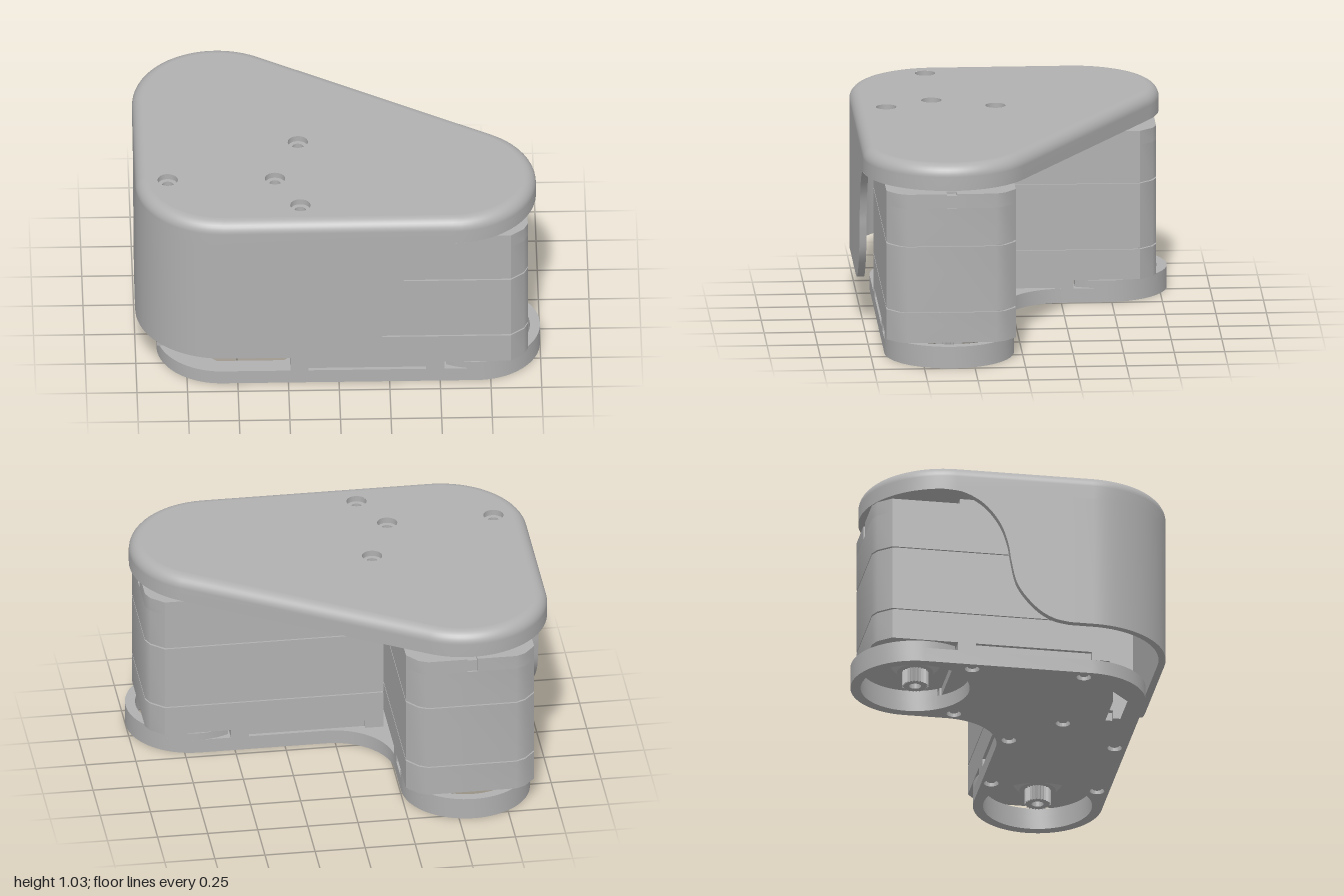
import * as THREE from 'three';
import { toCreasedNormals, mergeVertices } from 'three/addons/utils/BufferGeometryUtils.js';

const grey = new THREE.MeshStandardMaterial({ color: 0xb0b0b0 });
grey.name = 'grey';

const rad = THREE.MathUtils.degToRad;

function part(name, geo, parent) {
  const m = new THREE.Mesh(geo, grey);
  m.name = name;
  parent.add(m);
  return m;
}

// Plan shapes use (x, -z) so that an upward extrusion keeps the plan as seen from above
const plan = pts => new THREE.Shape(pts.map(([x, z]) => new THREE.Vector2(x, -z)));

function hole(x, z, r) {
  return new THREE.Path().absarc(x, -z, r, 0, Math.PI * 2);
}

function slab(shape, y0, y1) {
  const g = new THREE.ExtrudeGeometry(shape, { depth: y1 - y0, bevelEnabled: false, curveSegments: 28 });
  g.rotateX(-Math.PI / 2).translate(0, y0, 0);
  return toCreasedNormals(g, 0.5);
}

const rect = (x0, x1, z0, z1) => plan([[x0, z0], [x1, z0], [x1, z1], [x0, z1]]);

function cyl(r0, r1, y0, y1, x, z, seg = 32) {
  return new THREE.CylinderGeometry(r1, r0, y1 - y0, seg).translate(x, (y0 + y1) / 2, z);
}

function arc(cx, cz, r, a0, a1, n = 24) {
  return Array.from({ length: n + 1 }, (_, i) => {
    const a = rad(a0 + (a1 - a0) * i / n);
    return [cx + r * Math.cos(a), cz + r * Math.sin(a)];
  });
}

// Skin over closed cross-sections
function loft(rings) {
  const n = rings[0].length, idx = [];
  for (let i = 0; i < rings.length - 1; i++) {
    for (let j = 0; j < n; j++) {
      const k = (j + 1) % n;
      const a = i * n + j, b = a + n, c = (i + 1) * n + k, d = i * n + k;
      idx.push(a, b, d, b, c, d);
    }
  }
  const g = new THREE.BufferGeometry();
  g.setAttribute('position', new THREE.Float32BufferAttribute(rings.flat(2), 3));
  g.setIndex(idx);
  g.computeVertexNormals();
  return g;
}

// Lid outline, moved inward by a given inset
function lidOutline(inset) {
  return [
    ...arc(0.56, 0.36, 0.42 - inset, -59, 90),
    ...arc(-0.57, 0.35, 0.43 - inset, 90, 180),
    ...arc(-0.58, -0.33, 0.42 - inset, 180, 301),
  ];
}

function makeLid() {
  const lid = new THREE.Group();
  lid.name = 'lid';
  const R = 0.06, top = 1.03;
  const rings = [lidOutline(0).map(([x, z]) => [x, 0.9, z])];
  for (let i = 0; i <= 8; i++) {
    const a = i / 8 * Math.PI / 2;
    const y = top - R + R * Math.sin(a);
    rings.push(lidOutline(R * (1 - Math.cos(a))).map(([x, z]) => [x, y, z]));
  }
  part('lidRim', loft(rings), lid);

  // Top face with counterbored screw holes
  const screws = [[-0.84, 0.39], [-0.31, 0.39], [-0.19, 0.08], [-0.19, 0.62]];
  const face = plan(lidOutline(R));
  screws.forEach(([x, z]) => face.holes.push(hole(x, z, 0.05)));
  part('lidTop', new THREE.ShapeGeometry(face, 28).rotateX(-Math.PI / 2).translate(0, top, 0), lid);
  for (const [x, z] of screws) {
    const collar = plan(arc(x, z, 0.052, 0, 360));
    collar.holes.push(hole(x, z, 0.028));
    part('holeSeat', slab(collar, 0.92, top - 0.03), lid);
    const wall = new THREE.CylinderGeometry(0.05, 0.05, 0.03, 32, 1, true).scale(-1, 1, 1);
    const w = wall.index.array;
    part('holeWall', wall.translate(x, top - 0.015, z), lid);
    wall.computeVertexNormals();
    part('holeBottom', cyl(0.03, 0.03, 0.92, 0.95, x, z), lid);
  }

  // Underside and its central boss
  const under = new THREE.Shape(lidOutline(0).map(([x, z]) => new THREE.Vector2(x, z)));
  part('lidUnderside', new THREE.ShapeGeometry(under).rotateX(Math.PI / 2).translate(0, 0.9, 0), lid);
  part('lidBoss', cyl(0.05, 0.07, 0.87, 0.9, -0.11, -0.03), lid);
  return lid;
}

// Curved skirt whose lower edge sweeps up to the lid at both ends
function makeSkirt() {
  const sweep = new THREE.CatmullRomCurve3([
    [0, 0.899], [0.1, 0.885], [0.2, 0.83], [0.28, 0.73], [0.32, 0.62], [0.335, 0.53],
    [0.37, 0.4], [0.47, 0.28], [0.55, 0.235], [0.63, 0.22],
  ].map(([t, y]) => new THREE.Vector3(t, y, 0))).getPoints(54);
  const T = 0.035, rings = [];
  const add = (x, z, nx, nz, y) => {
    const ix = x - nx * T, iz = z - nz * T;
    rings.push([[x, 0.9, z], [x, y, z], [ix, y, iz], [ix, 0.9, iz]]);
  };
  for (const p of sweep) {
    const x = 0.62 - p.x, o = Math.max(0, x - 0.56);
    add(x, 0.36 + Math.sqrt(0.42 ** 2 - o * o), 0, 1, p.y);
  }
  for (const [x, z] of arc(-0.57, 0.35, 0.43, 90, 180)) add(x, z, (x + 0.57) / 0.43, (z - 0.35) / 0.43, 0.22);
  for (const p of sweep.reverse()) {
    const z = -0.395 + p.x, o = Math.max(0, -0.33 - z);
    add(-0.58 - Math.sqrt(0.42 ** 2 - o * o), z, -1, 0, p.y);
  }
  return toCreasedNormals(loft(rings).toNonIndexed(), 0.6);
}

// Motor block lying along x, with its output axis at (0.68, 0.36)
function makeMotor(name) {
  const g = new THREE.Group();
  g.name = name;
  const outline = (d = 0, notch = false) => plan([
    [-0.24 + d, 0.04 + d], [0.85 - d, 0.04 + d], [0.915 - d, 0.095 + d], [0.935 - d, 0.14],
    ...(notch ? [[0.935, 0.335], [0.88, 0.335], [0.88, 0.385], [0.935, 0.385]] : []),
    [0.935 - d, 0.58], [0.915 - d, 0.625 - d], [0.85 - d, 0.68 - d], [-0.24 + d, 0.68 - d],
  ]);
  part('lowerCase', slab(outline(), 0.115, 0.268), g);
  part('middleCase', slab(outline(), 0.276, 0.604), g);
  part('upperCase', slab(outline(), 0.612, 0.8), g);
  part('upperCaseNotched', slab(outline(0, true), 0.8, 0.872), g);
  part('caseCore', slab(outline(0.01), 0.12, 0.86), g);
  part('topStep', slab(rect(-0.23, 0.51, 0.045, 0.675), 0.87, 0.899), g);
  part('bottomStep', slab(rect(-0.21, 0.51, 0.06, 0.66), 0.072, 0.116), g);
  for (const x of [-0.24, 0.43]) {
    for (const z of [0.04, 0.58]) part('foot', slab(rect(x, x + 0.09, z, z + 0.1), 0.072, 0.116), g);
  }
  // Output hub above, flange and toothed shaft below
  part('topHub', cyl(0.12, 0.12, 0.87, 0.899, 0.68, 0.36), g);
  part('shaftFlange', cyl(0.09, 0.12, 0.085, 0.116, 0.68, 0.36), g);
  const teeth = Array.from({ length: 48 }, (_, i) => {
    const a = i / 48 * Math.PI * 2, r = i % 2 ? 0.056 : 0.066;
    return [0.68 + r * Math.cos(a), 0.36 + r * Math.sin(a)];
  });
  const shaft = plan(teeth);
  shaft.holes.push(hole(0.68, 0.36, 0.03));
  part('toothedShaft', slab(shaft, 0.01, 0.09), g);
  // Guard ring round the shaft, open toward the block
  const guard = plan([...arc(0.68, 0.36, 0.32, -118, 118, 48), ...arc(0.68, 0.36, 0.27, 124, -124, 48)]);
  part('guardRing', slab(guard, 0, 0.11), g);
  return g;
}

function makeBase() {
  const base = new THREE.Group();
  base.name = 'base';
  const shape = plan([
    ...arc(0.68, 0.36, 0.32, -90, 90, 32),
    ...arc(-0.575, 0.36, 0.32, 90, 180),
    ...arc(-0.575, -0.47, 0.32, 180, 360, 32),
    ...arc(0.045, -0.26, 0.3, 180, 90),
  ]);
  shape.holes.push(hole(0.68, 0.36, 0.27), hole(-0.575, -0.47, 0.27));
  // Windows under each motor and a curved slot near the corner
  shape.holes.push(rect(-0.1, 0.28, 0.26, 0.46), rect(-0.675, -0.475, -0.07, 0.31));
  shape.holes.push(plan([[-0.7, 0.5], [-0.58, 0.52], [-0.35, 0.52], [-0.22, 0.54], [-0.27, 0.59], [-0.6, 0.59]]));
  const screws = [[0.46, 0.09], [0.46, 0.62], [-0.05, 0.09], [-0.05, 0.62],
    [-0.31, -0.23], [-0.84, -0.23], [-0.29, 0.32], [-0.84, 0.33]];
  screws.forEach(([x, z]) => shape.holes.push(hole(x, z, 0.036)));
  part('basePlate', slab(shape, 0, 0.072), base);
  for (const [x, z] of screws) part('baseScrew', cyl(0.022, 0.036, 0.012, 0.07, x, z, 20), base);
  return base;
}

export function createModel() {
  const model = new THREE.Group();
  model.name = 'twinMotorHousing';
  model.add(makeLid(), makeBase(), makeMotor('leftMotor'));
  part('skirt', makeSkirt(), model);
  // Second motor is the first turned a quarter about the upright axis
  const rear = makeMotor('rearMotor');
  rear.rotation.y = Math.PI / 2;
  rear.position.set(-0.935, 0, 0.21);
  model.add(rear);
  return model;
}
